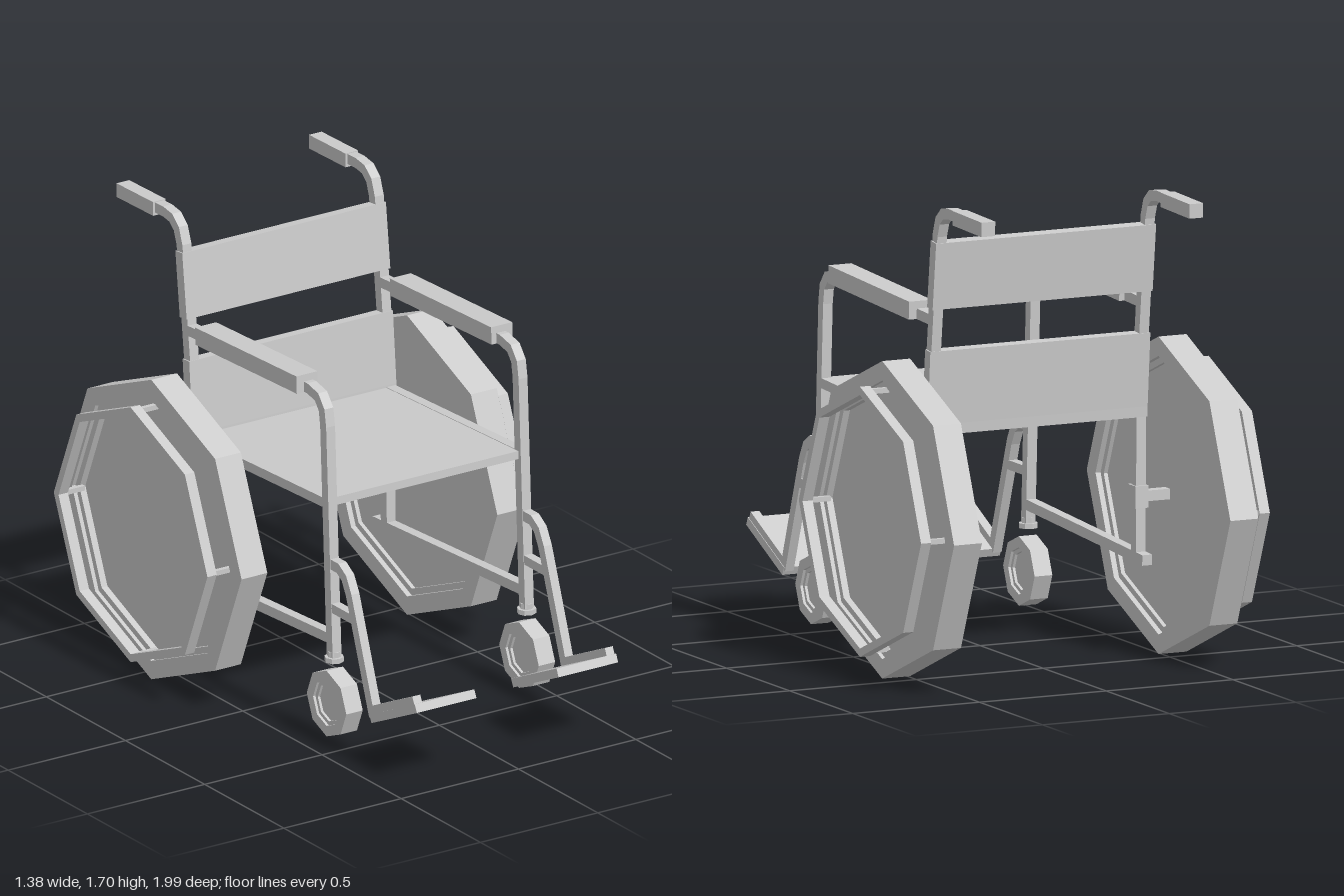
import * as THREE from 'three';

const material = new THREE.MeshStandardMaterial({ color: 0xcccccc, flatShading: true });

function add(parent, name, geometry) {
  const mesh = new THREE.Mesh(geometry, material);
  mesh.name = name;
  parent.add(mesh);
  return mesh;
}

// Rectangular bar along a path of [z, y] points, centred on x with the given width
function bar(path, thick, x, width) {
  const pts = path.map(([z, y]) => new THREE.Vector2(-z, y));
  const upper = [], lower = [];
  pts.forEach((p, i) => {
    const before = p.clone().sub(pts[Math.max(i - 1, 0)]).normalize();
    const after = pts[Math.min(i + 1, pts.length - 1)].clone().sub(p).normalize();
    const dir = before.clone().add(after).normalize();
    const ref = i === 0 ? after : before;
    const miter = thick / 2 / Math.max(dir.dot(ref), 0.5);
    const off = new THREE.Vector2(-dir.y, dir.x).multiplyScalar(miter);
    upper.push(p.clone().add(off));
    lower.unshift(p.clone().sub(off));
  });
  const geo = new THREE.ExtrudeGeometry(new THREE.Shape([...upper, ...lower]),
    { depth: width, bevelEnabled: false });
  return geo.rotateY(Math.PI / 2).translate(x - width / 2, 0, 0);
}

// Eight-sided ring around the x axis
function ring(outer, inner, x0, x1) {
  const profile = [[outer, x0], [outer, x1], [inner, x1], [inner, x0], [outer, x0]];
  return new THREE.LatheGeometry(profile.map(p => new THREE.Vector2(...p)), 8)
    .rotateZ(-Math.PI / 2);
}

// Eight-sided disc around the x axis
function disc(r, x0, x1) {
  return new THREE.CylinderGeometry(r, r, x1 - x0, 8)
    .rotateZ(-Math.PI / 2).translate((x0 + x1) / 2, 0, 0);
}

function driveWheel(side) {
  const wheel = new THREE.Group();
  wheel.name = 'driveWheel';
  add(wheel, 'tyre', ring(0.57, 0.5, -0.055, 0.055));
  add(wheel, 'wheelRim', ring(0.502, 0.475, -0.035, 0.04));
  add(wheel, 'wheelDisc', disc(0.48, -0.02, 0.015));
  add(wheel, 'handRim', ring(0.485, 0.455, 0.103, 0.143));
  // Four spacers hold the hand rim off the wheel
  for (let i = 0; i < 4; i++) {
    const a = i * Math.PI / 2;
    add(wheel, 'handRimSpacer', new THREE.BoxGeometry(0.09, 0.018, 0.018)
      .translate(0.075, Math.sin(a) * 0.465, Math.cos(a) * 0.465));
  }
  wheel.position.set(side * 0.545, 0.57, -0.43);
  if (side < 0) wheel.rotation.y = Math.PI;
  return wheel;
}

function caster(side) {
  const group = new THREE.Group();
  group.name = 'caster';
  add(group, 'casterTyre', ring(0.125, 0.085, -0.035, 0.035));
  add(group, 'casterRim', ring(0.087, 0.07, -0.025, 0.025));
  add(group, 'casterDisc', disc(0.075, -0.015, 0.015));
  group.position.set(side * 0.41, 0.165, 0.447);
  return group;
}

function sideFrame(side) {
  const group = new THREE.Group();
  group.name = side > 0 ? 'leftFrame' : 'rightFrame';
  const x = side * 0.41, w = 0.038;

  // Front post bending back into the armrest rail
  add(group, 'frontPost', bar([[0.443, 0.34], [0.402, 1.2], [0.392, 1.26], [0.36, 1.3],
    [0.3, 1.313], [-0.465, 1.28]], w, x, w));
  // Back post bending into the push handle
  add(group, 'backPost', bar([[-0.43, 0.36], [-0.435, 0.9], [-0.455, 1.15], [-0.505, 1.59],
    [-0.525, 1.645], [-0.56, 1.675], [-0.61, 1.683], [-0.68, 1.68]], w, x, w));
  add(group, 'handGrip', bar([[-0.66, 1.677], [-0.89, 1.672]], 0.052, x, 0.054));
  add(group, 'armPad', bar([[0.28, 1.325], [-0.36, 1.298]], 0.065, side * 0.415, 0.09));
  add(group, 'seatRail', bar([[0.4, 0.912], [-0.435, 0.875]], 0.036, x, w));
  add(group, 'lowerRail', bar([[0.43, 0.406], [-0.5, 0.355]], w, x, w));

  // Axle, its bracket and the caster mount
  add(group, 'axleBracket', new THREE.BoxGeometry(0.052, 0.08, 0.06).translate(x, 0.575, -0.43));
  add(group, 'axle', new THREE.BoxGeometry(0.15, 0.038, 0.038).translate(side * 0.465, 0.575, -0.43));
  add(group, 'casterCollar', new THREE.CylinderGeometry(0.035, 0.035, 0.018, 8).translate(x, 0.328, 0.443));
  add(group, 'casterCollarTop', new THREE.CylinderGeometry(0.024, 0.024, 0.02, 8).translate(x, 0.347, 0.443));

  // Leg rest with its brace and footplate
  add(group, 'legRest', bar([[0.425, 0.69], [0.49, 0.69], [0.53, 0.665], [0.56, 0.61],
    [0.7, 0.215], [0.97, 0.342]], w, x, 0.034));
  add(group, 'legRestBrace', bar([[0.425, 0.525], [0.585, 0.525]], 0.034, x, 0.034));
  add(group, 'footplate', bar([[0.7, 0.188], [0.987, 0.322]], 0.032, side * 0.302, 0.254));

  group.add(driveWheel(side), caster(side));
  return group;
}

export function createModel() {
  const model = new THREE.Group();
  model.name = 'wheelchair';
  for (const side of [1, -1]) model.add(sideFrame(side));

  // Seat sheet and two back panels wrapped around the posts
  add(model, 'seat', bar([[0.42, 0.914], [-0.42, 0.877]], 0.03, 0, 0.82));
  add(model, 'lowerBackPanel', bar([[-0.433, 0.862], [-0.435, 0.9], [-0.457, 1.168]], 0.042, 0, 0.868));
  add(model, 'upperBackPanel', bar([[-0.474, 1.322], [-0.502, 1.565]], 0.044, 0, 0.868));
  return model;
}
